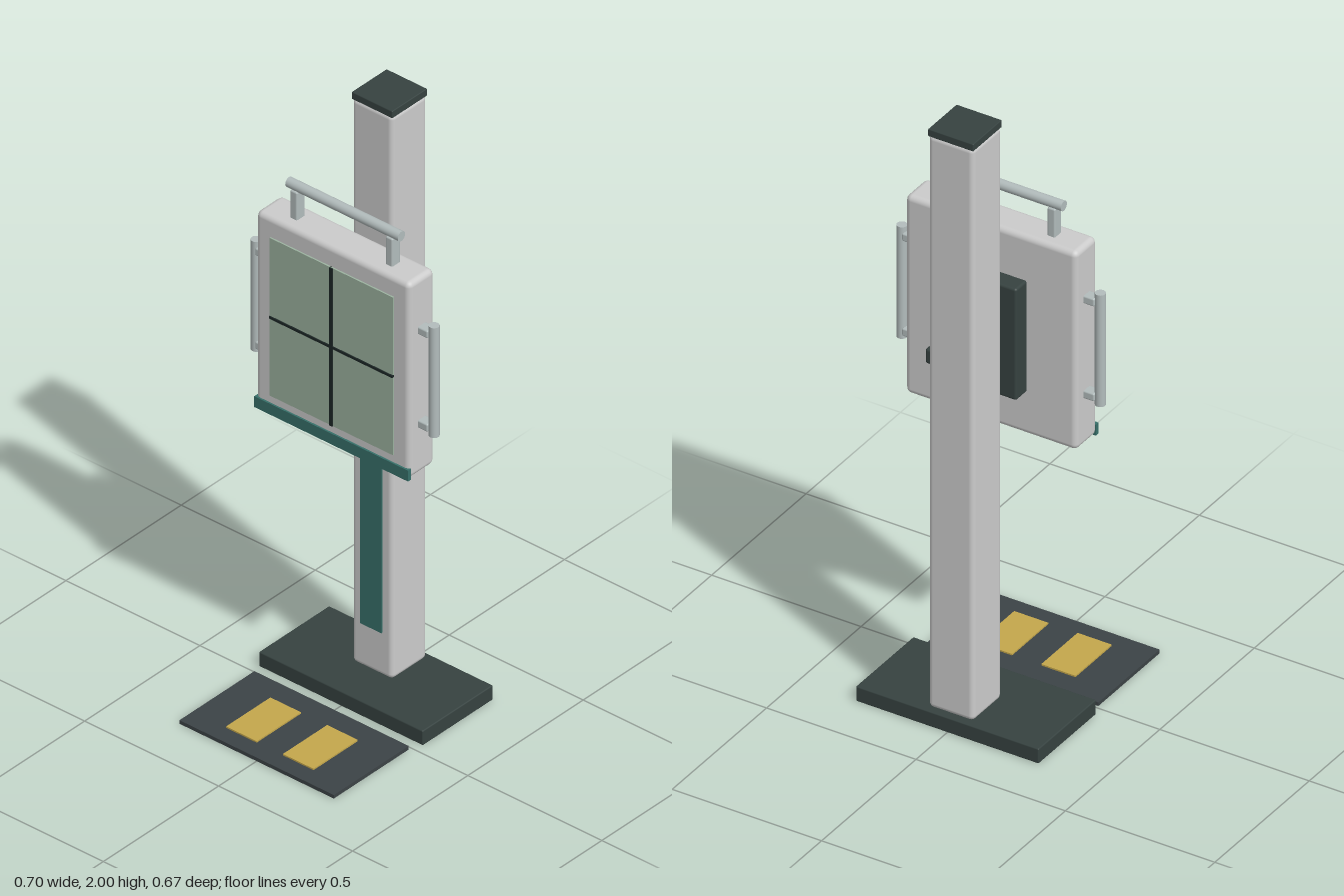
import * as THREE from 'three';
import { RoundedBoxGeometry } from 'three/addons/geometries/RoundedBoxGeometry.js';

const mat = (color) => new THREE.MeshStandardMaterial({ color });
const grey = mat(0xcccccc);
const steel = mat(0xb2bcbc);
const dark = mat(0x364240);
const rubber = mat(0x3c4346);
const teal = mat(0x37706a);
const glass = mat(0x9cb3a0);
const yellow = mat(0xc4a74c);
const black = mat(0x1c2625);

export function createModel() {
  const model = new THREE.Group();
  model.name = 'standingPanelUnit';

  // Box from its min/max extents, rounded when a radius is given
  function box(name, material, [x0, x1], [y0, y1], [z0, z1], radius = 0, parent = model) {
    const size = [x1 - x0, y1 - y0, z1 - z0];
    const geometry = radius
      ? new RoundedBoxGeometry(...size, 3, radius)
      : new THREE.BoxGeometry(...size);
    const mesh = new THREE.Mesh(geometry, material);
    mesh.position.set((x0 + x1) / 2, (y0 + y1) / 2, (z0 + z1) / 2);
    mesh.name = name;
    parent.add(mesh);
    return mesh;
  }

  function rod(name, length, radius, x, y, z, parent) {
    const mesh = new THREE.Mesh(new THREE.CylinderGeometry(radius, radius, length, 24), steel);
    mesh.position.set(x, y, z);
    mesh.name = name;
    parent.add(mesh);
    return mesh;
  }

  // Floor plate, column and cap
  box('basePlate', dark, [-0.306, 0.306], [0, 0.05], [-0.335, -0.03], 0.004);
  box('column', grey, [-0.076, 0.076], [0.05, 1.98], [-0.317, -0.165], 0.016);
  box('columnCap', dark, [-0.076, 0.076], [1.975, 2], [-0.317, -0.165], 0.003);
  box('columnStrip', teal, [-0.04, 0.04], [0.2, 0.87], [-0.17, -0.159]);

  // Floor mat with two foot markers
  box('floorMat', rubber, [-0.288, 0.288], [0, 0.012], [0.01, 0.335]);
  for (const x of [-0.106, 0.106]) {
    box('footMarker', yellow, [x - 0.057, x + 0.057], [0.01, 0.017], [0.086, 0.278]);
  }

  // Sliding carriage and its lock knob
  box('carriage', dark, [-0.123, 0.123], [1.066, 1.442], [-0.164, -0.104], 0.008);
  box('lockKnob', dark, [0.074, 0.122], [1.162, 1.212], [-0.26, -0.167], 0.008);

  // Panel housing, screen, cross lines and lower trim
  box('panelHousing', grey, [-0.287, 0.287], [0.92, 1.588], [-0.105, 0.006], 0.018);
  box('screen', glass, [-0.23, 0.23], [0.982, 1.522], [0, 0.011]);
  box('verticalLine', black, [-0.006, 0.006], [0.982, 1.522], [0.005, 0.015]);
  box('horizontalLine', black, [-0.23, 0.23], [1.248, 1.256], [0.005, 0.015]);
  box('lowerTrim', teal, [-0.287, 0.287], [0.918, 0.955], [-0.002, 0.012]);

  // Top handle
  const topHandle = new THREE.Group();
  topHandle.name = 'topHandle';
  model.add(topHandle);
  rod('topBar', 0.42, 0.016, 0, 1.692, -0.049, topHandle).rotation.z = Math.PI / 2;
  for (const x of [-0.178, 0.178]) {
    box('topPost', steel, [x - 0.013, x + 0.013], [1.58, 1.682], [-0.067, -0.031], 0.005, topHandle);
  }

  // Side handles, mirrored left and right
  for (const side of [-1, 1]) {
    const handle = new THREE.Group();
    handle.name = side > 0 ? 'leftHandle' : 'rightHandle';
    model.add(handle);
    rod('sideBar', 0.376, 0.016, side * 0.332, 1.254, -0.049, handle);
    for (const y of [1.092, 1.412]) {
      const xs = [side * 0.28, side * 0.322].sort((a, b) => a - b);
      box('sidePost', steel, xs, [y - 0.013, y + 0.013], [-0.067, -0.031], 0.005, handle);
    }
  }

  return model;
}
